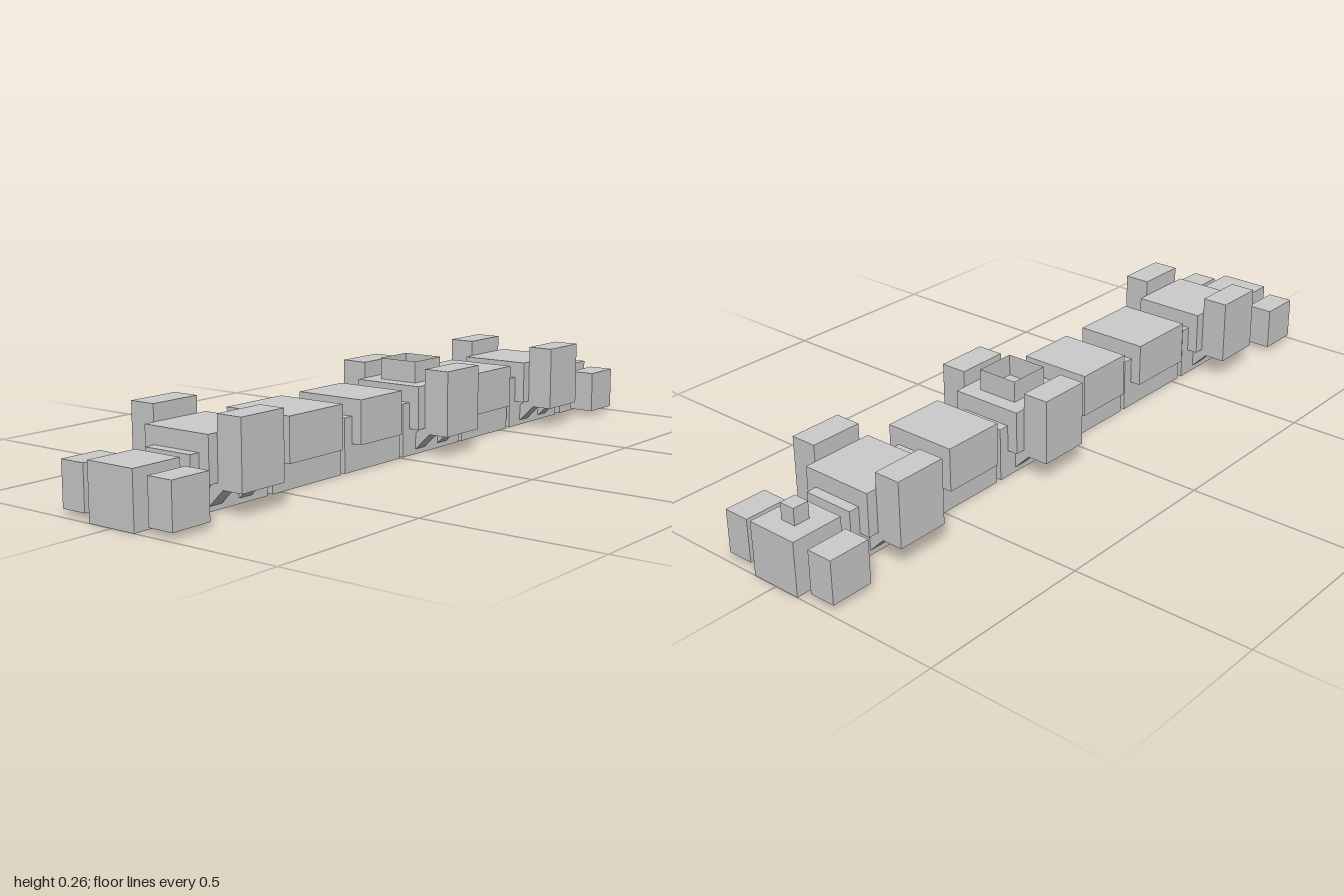
import * as THREE from 'three';

const material = new THREE.MeshStandardMaterial({ color: 0xcccccc, flatShading: true });

// Box given by its width, vertical range and lengthwise range
function box(name, x, width, y0, y1, z0, z1) {
  const mesh = new THREE.Mesh(new THREE.BoxGeometry(width, y1 - y0, z1 - z0), material);
  mesh.position.set(x, (y0 + y1) / 2, (z0 + z1) / 2);
  mesh.name = name;
  return mesh;
}

// Side engine block held by two slanted struts
function sidePod(side, z) {
  const pod = new THREE.Group();
  pod.name = side > 0 ? 'leftPod' : 'rightPod';
  pod.add(box('podBlock', side * 0.143, 0.076, 0.06, 0.242, z - 0.075, z + 0.075));
  for (const dz of [-0.0525, 0.0525]) {
    const strut = box('podStrut', 0, 0.1, -0.016, 0.016, -0.0225, 0.0225);
    strut.position.set(side * 0.095, 0.0575, z + dz);
    strut.rotation.z = side * Math.PI / 4;
    pod.add(strut);
  }
  return pod;
}

// Thin open-topped rim made of four walls
function openRim(z) {
  const rim = new THREE.Group();
  rim.name = 'openRim';
  const wallMaterial = material.clone();
  wallMaterial.side = THREE.DoubleSide;
  for (let i = 0; i < 4; i++) {
    const a = i * Math.PI / 2;
    const wall = new THREE.Mesh(new THREE.PlaneGeometry(0.12, 0.06), wallMaterial);
    wall.position.set(Math.sin(a) * 0.06, 0.227, z + Math.cos(a) * 0.06);
    wall.rotation.y = a;
    wall.name = 'rimWall';
    rim.add(wall);
  }
  return rim;
}

export function createModel() {
  const model = new THREE.Group();
  model.name = 'segmentedVehicle';

  // Body segments: narrow base with a wider, shorter upper block
  const segments = [
    { z0: -0.822, z1: -0.552, pods: true },
    { z0: -0.536, z1: -0.296 },
    { z0: -0.281, z1: -0.011, pods: true, rim: true },
    { z0: 0.005, z1: 0.245 },
    { z0: 0.261, z1: 0.531 },
    { z0: 0.548, z1: 0.818, pods: true },
  ];
  for (const { z0, z1, pods, rim } of segments) {
    const segment = new THREE.Group();
    segment.name = 'segment';
    const z = (z0 + z1) / 2;
    segment.add(box('segmentBase', 0, 0.148, 0, 0.15, z0, z1));
    segment.add(box('segmentUpper', 0, 0.21, 0.076, 0.197, z0 + 0.03, z1 - 0.03));
    if (pods) for (const side of [-1, 1]) segment.add(sidePod(side, z));
    if (rim) segment.add(openRim(z));
    model.add(segment);
  }

  // End sections with a detached block on each side
  for (const end of [-1, 1]) {
    const section = new THREE.Group();
    section.name = end > 0 ? 'frontSection' : 'rearSection';
    const z = end * 0.925;
    section.add(box('endBlock', 0, 0.148, 0, 0.15, z - 0.075, z + 0.075));
    for (const side of [-1, 1]) {
      section.add(box('endSideBlock', side * 0.143, 0.075, 0.016, 0.136, z - 0.06, z + 0.06));
    }
    model.add(section);
  }

  // Small post on the rear section
  model.add(box('rearPost', 0, 0.046, 0.14, 0.197, -0.948, -0.902));
  return model;
}
